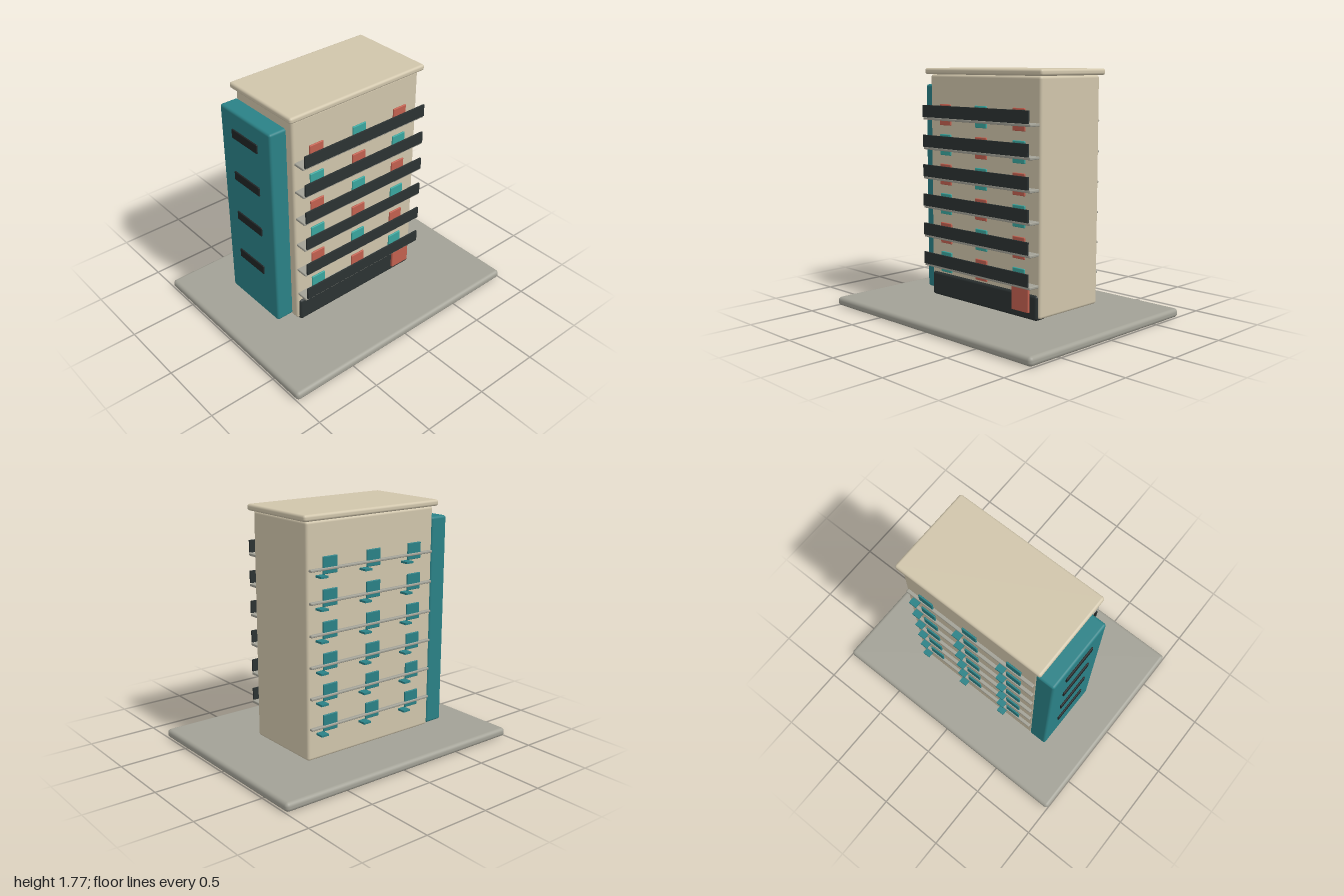
import * as THREE from 'three';
import { RoundedBoxGeometry } from 'three/addons/geometries/RoundedBoxGeometry.js';

const paint = (name, color) => {
  const m = new THREE.MeshStandardMaterial({ color });
  m.name = name;
  return m;
};

export function createModel() {
  const model = new THREE.Group();
  model.name = 'apartmentBlock';

  const concrete = paint('concrete grey', 0xa2a196);
  const plaster = paint('sand plaster', 0xd0c5ab);
  const charcoal = paint('charcoal', 0x2b3232);
  const slotBlack = paint('slot black', 0x202526);
  const deepTeal = paint('deep teal', 0x2a8186);
  const teal = paint('light teal', 0x3aa69e);
  const coral = paint('coral', 0xc2604f);

  // A box given by its extents, with rounded edges when a radius is set
  const box = (parent, name, material, [x0, x1], [y0, y1], [z0, z1], radius = 0) => {
    const size = [x1 - x0, y1 - y0, z1 - z0];
    const geometry = radius
      ? new RoundedBoxGeometry(...size, 3, radius)
      : new THREE.BoxGeometry(...size);
    const mesh = new THREE.Mesh(geometry, material);
    mesh.name = name;
    mesh.position.set((x0 + x1) / 2, (y0 + y1) / 2, (z0 + z1) / 2);
    parent.add(mesh);
    return mesh;
  };

  // Ground slab, main block and roof
  box(model, 'groundSlab', concrete, [-1, 1], [0.005, 0.07], [-0.775, 0.775], 0.028);
  box(model, 'mainBlock', plaster, [-0.553, 0.553], [0.092, 1.73], [-0.394, 0.211], 0.02);
  box(model, 'roofSlab', plaster, [-0.586, 0.586], [1.73, 1.775], [-0.42, 0.241], 0.018);

  // Shop front with its hanging sign board
  box(model, 'shopFront', charcoal, [-0.535, 0.535], [0.08, 0.257], [0.13, 0.227], 0.02);
  box(model, 'signBoard', coral, [0.332, 0.49], [0.137, 0.315], [0.241, 0.262], 0.006);

  // Stair tower on the right side with window slots
  const tower = new THREE.Group();
  tower.name = 'stairTower';
  model.add(tower);
  box(tower, 'towerShaft', deepTeal, [-0.682, -0.54], [0.104, 1.653], [-0.4, 0.148], 0.018);
  for (let i = 0; i < 4; i++) {
    const y = 0.49 + i * 0.333;
    box(tower, 'towerSlot', slotBlack, [-0.693, -0.68], [y - 0.033, y + 0.033], [-0.265, 0.012], 0.004);
  }

  // Six floors: front balcony, front panels, rear ledge, shutters and awnings
  for (let i = 0; i < 6; i++) {
    const y = 0.321 + i * 0.218;
    const floor = new THREE.Group();
    floor.name = 'floor' + (i + 1);
    model.add(floor);

    box(floor, 'balconySlab', concrete, [-0.54, 0.54], [y - 0.01, y + 0.01], [0.2, 0.298], 0.006);
    box(floor, 'balconyParapet', charcoal, [-0.53, 0.53], [y + 0.01, y + 0.098], [0.298, 0.311]);
    box(floor, 'rearLedge', concrete, [-0.535, 0.535], [y - 0.009, y + 0.009], [-0.418, -0.38], 0.006);

    [-0.37, 0, 0.37].forEach((x, c) => {
      box(floor, 'windowPanel', (i + c) % 2 ? coral : teal,
        [x - 0.058, x + 0.058], [y - 0.048, y + 0.106], [0.221, 0.235], 0.006);
      box(floor, 'rearShutter', deepTeal,
        [x - 0.06, x + 0.06], [y - 0.035, y + 0.083], [-0.41, -0.397], 0.005);
      box(floor, 'rearAwning', deepTeal,
        [x + 0.053, x + 0.113], [y - 0.049, y - 0.035], [-0.457, -0.39]);
    });
  }

  return model;
}
